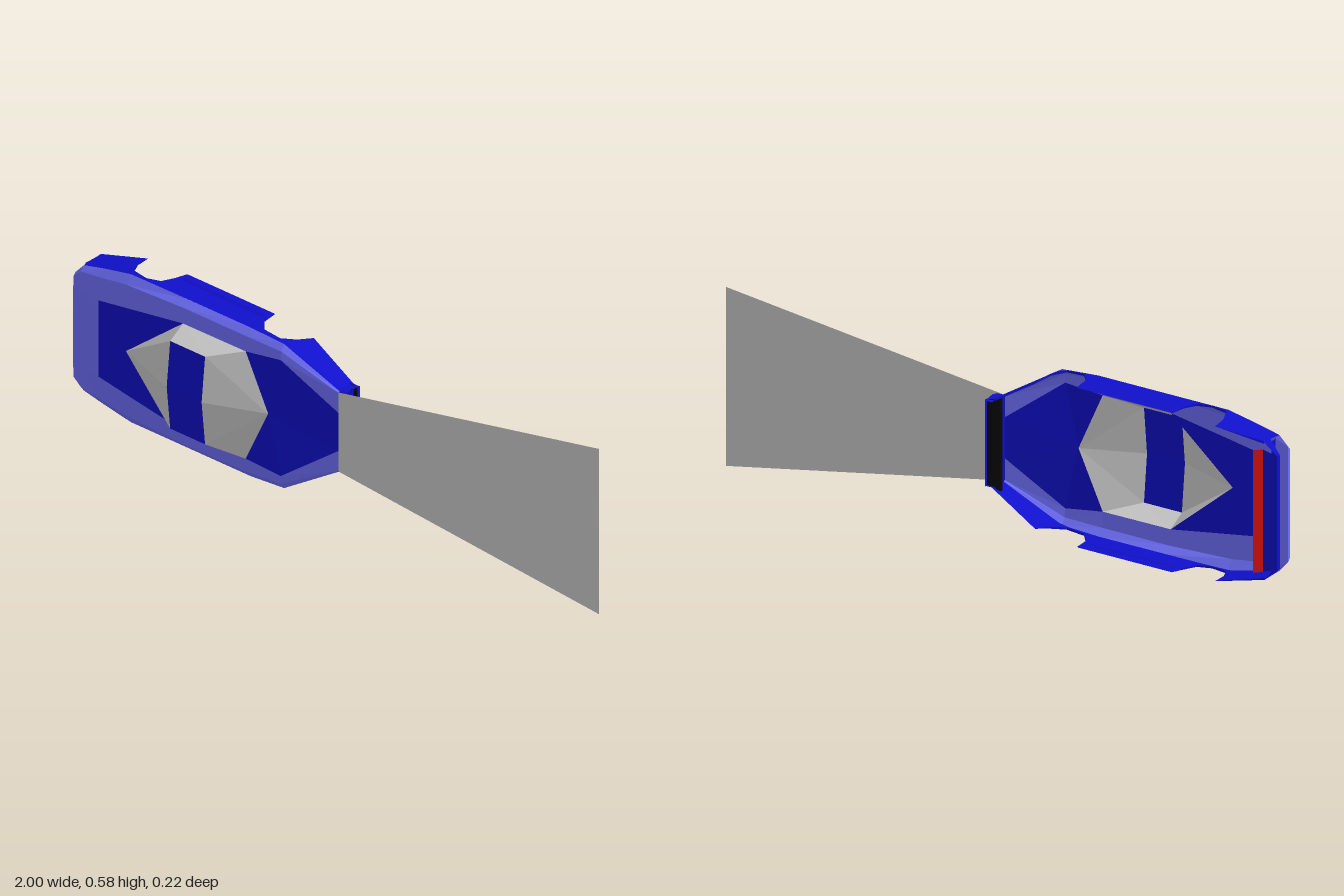
import * as THREE from 'three';

const CY = 0.2925; // car's centreline; the car lies on its side, roof towards +z

const paint = (color, side = THREE.DoubleSide) =>
  new THREE.MeshStandardMaterial({ color, side, flatShading: true });

// Flat polygons given as [x, half-width, z], each mirrored across the centreline
function panels(name, material, polys) {
  const pos = [];
  const put = (p, s) => pos.push(p[0], CY + s * p[1], p[2]);
  for (const poly of polys) {
    for (let i = 1; i < poly.length - 1; i++) {
      [poly[0], poly[i], poly[i + 1]].forEach((p) => put(p, 1));
      [poly[0], poly[i + 1], poly[i]].forEach((p) => put(p, -1));
    }
  }
  const geo = new THREE.BufferGeometry();
  geo.setAttribute('position', new THREE.Float32BufferAttribute(pos, 3));
  geo.computeVertexNormals();
  const mesh = new THREE.Mesh(geo, material);
  mesh.name = name;
  return mesh;
}

// Quads between two equally long rows of points
const strip = (a, b) => a.slice(1).map((_, i) => [a[i], a[i + 1], b[i + 1], b[i]]);

// A side profile of [x, half-width, z] carried across to the centreline
const across = (profile) => strip(profile, profile.map(([x, , z]) => [x, 0, z]));

// Piecewise linear lookup in rows of [x, value]
function lookup(rows, x) {
  if (x <= rows[0][0]) return rows[0][1];
  for (let i = 1; i < rows.length; i++) {
    const [x0, v0] = rows[i - 1], [x1, v1] = rows[i];
    if (x <= x1) return v0 + ((v1 - v0) * (x - x0)) / (x1 - x0);
  }
  return rows[rows.length - 1][1];
}

export function createModel() {
  const car = new THREE.Group();
  car.name = 'car';
  const blue = paint(0x1010cc);
  const lightBlue = paint(0x7070ff);
  const grey = paint(0xcccccc);
  const black = paint(0x080808);
  const red = paint(0xcc1010, THREE.FrontSide);

  // Body stations: inner edge of the trim, shoulder, top of the flank
  const inner = [[-0.985, 0.135, 0.033], [-0.955, 0.135, 0.034], [-0.88, 0.135, 0.036],
    [-0.77, 0.153, 0.037], [-0.54, 0.19, 0.038], [-0.29, 0.19, 0.036],
    [-0.16, 0.205, 0.024], [0.025, 0.067, -0.03]];
  const shoulder = [[-0.985, 0.178, 0.032], [-0.955, 0.205, 0.031], [-0.88, 0.215, 0.031],
    [-0.77, 0.232, 0.032], [-0.54, 0.242, 0.033], [-0.29, 0.24, 0.03],
    [-0.16, 0.234, 0.021], [0.025, 0.138, -0.03]];
  const outer = [[-0.985, 0.188, 0.022], [-0.955, 0.222, 0.018], [-0.88, 0.24, 0.016],
    [-0.77, 0.262, 0.014], [-0.54, 0.263, 0.012], [-0.29, 0.263, 0.012],
    [-0.16, 0.255, 0.008], [0.025, 0.142, -0.035]];
  car.add(panels('bodyTrim', lightBlue, [...strip(inner, shoulder),
    ...strip(shoulder, outer), ...across(inner.slice(0, 3))]));

  // Deck and hood leave an opening under the cabin
  const rearTip = [-0.77, 0, 0.037], frontTip = [-0.205, 0, 0.03];
  car.add(panels('rearDeck', blue, [[[-0.88, 0, 0.036], rearTip, inner[4], inner[3], inner[2]]]));
  car.add(panels('hood', blue, [[frontTip, inner[5], inner[6]],
    [frontTip, inner[6], inner[7], [0.025, 0, -0.03]]]));

  // Cabin
  const roofRear = [-0.54, 0.155, 0.097], roofFront = [-0.4, 0.155, 0.097];
  const ridgeRear = [-0.54, 0, 0.113], ridgeFront = [-0.4, 0, 0.113];
  car.add(panels('roof', blue, [[ridgeRear, ridgeFront, roofFront, roofRear]]));
  car.add(panels('rearWindow', grey, [[rearTip, ridgeRear, roofRear], [rearTip, roofRear, inner[4]]]));
  car.add(panels('sideWindow', grey, [[inner[4], roofRear, roofFront, inner[5]]]));
  car.add(panels('windshield', grey, [[ridgeFront, frontTip, roofFront], [roofFront, frontTip, inner[5]]]));

  // Flanks: lower edge of [x, z] with both wheel arches cut out
  const lowerEdge = [[-0.955, -0.062], [-0.8, -0.1], [-0.797, -0.05], [-0.775, -0.005],
    [-0.715, 0.006], [-0.67, -0.01], [-0.65, -0.05], [-0.644, -0.1], [-0.29, -0.1],
    [-0.285, -0.045], [-0.25, -0.005], [-0.185, -0.003], [-0.15, -0.04], [-0.135, -0.1],
    [0.025, -0.1], [0.05, -0.1]];
  const widths = outer.map(([x, w]) => [x, w]);
  const tops = outer.map(([x, , z]) => [x, z]);
  const top = lowerEdge.map(([x]) => [x, lookup(widths, x), lookup(tops, x)]);
  const middle = lowerEdge.map(([x, z]) =>
    [x, lookup(widths, x) + 0.004, Math.max(z, Math.min(-0.06, lookup(tops, x)))]);
  const bottom = lowerEdge.map(([x, z]) => [x, lookup(widths, x) - 0.003, z]);
  car.add(panels('flank', blue, [...strip(top, middle), ...strip(middle, bottom)]));

  // Side sill
  car.add(panels('sill', blue, strip(
    [[-0.62, 0.264, -0.05], [-0.625, 0.272, -0.062], [-0.64, 0.262, -0.098]],
    [[-0.3, 0.264, -0.05], [-0.295, 0.272, -0.062], [-0.29, 0.262, -0.098]])));

  // Nose with dark intake
  car.add(panels('frontBumper', blue, [
    ...across([[0.025, 0.142, -0.03], [0.05, 0.142, -0.065], [0.045, 0.142, -0.075]]),
    ...across([[0.05, 0.142, -0.088], [0.05, 0.142, -0.1]])]));
  car.add(panels('frontIntake', black, across(
    [[0.045, 0.14, -0.075], [0, 0.15, -0.078], [0, 0.15, -0.088], [0.05, 0.14, -0.088]])));

  // Tail: overhanging lip, recess, bumper and light strip
  car.add(panels('rearLip', lightBlue, [
    ...across([[-0.985, 0.178, 0.032], [-0.985, 0.188, 0.022], [-0.945, 0.21, 0.012]]),
    [[-0.985, 0.188, 0.022], [-0.955, 0.222, 0.018], [-0.945, 0.21, 0.012]]]));
  car.add(panels('rearBumper', blue, [
    ...across([[-0.945, 0.21, 0.012], [-0.95, 0.21, -0.015], [-1, 0.185, -0.042],
      [-0.997, 0.185, -0.054], [-0.95, 0.2, -0.062]]),
    [[-1, 0.185, -0.042], [-0.95, 0.21, -0.015], [-0.945, 0.224, -0.02],
      [-0.955, 0.224, -0.062], [-0.997, 0.185, -0.054]]]));
  car.add(panels('tailLight', red, [[[-0.93, 0, -0.086], [-0.95, 0, -0.062],
    [-0.95, 0.2, -0.062], [-0.93, 0.2, -0.086]]]));

  // Headlight beam
  car.add(panels('headlightBeam', grey, [[[0.025, 0, -0.03], [1, 0, -0.11],
    [1, CY, -0.11], [0.025, 0.14, -0.03]]]));
  return car;
}
